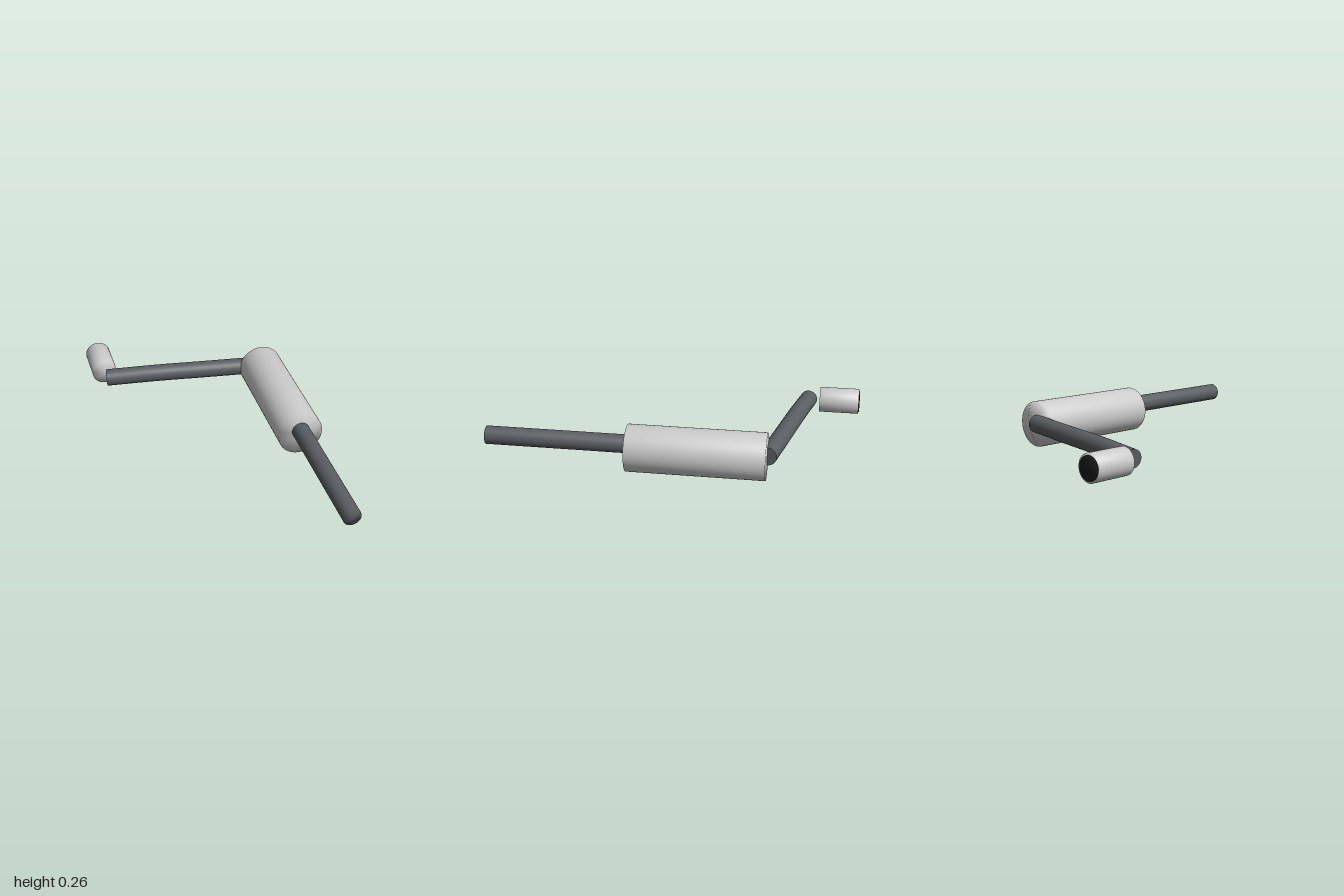
import * as THREE from 'three';
import { mergeVertices } from 'three/addons/utils/BufferGeometryUtils.js';

const light = new THREE.MeshStandardMaterial({ color: 0xcccccc });
const dark = new THREE.MeshStandardMaterial({ color: 0x5a5e62 });
const black = new THREE.MeshStandardMaterial({ color: 0x1c1c1c });

// Weld the seams so that shading rolls softly over the end caps
function weld(geometry) {
  geometry.deleteAttribute('uv');
  geometry.deleteAttribute('normal');
  const welded = mergeVertices(geometry, 1e-4);
  welded.computeVertexNormals();
  return welded;
}

// Closed cylinder lying along z from z0 (back) to z1 (front)
function barrel(name, radius, x, y, z0, z1, material) {
  const geometry = weld(new THREE.CylinderGeometry(radius, radius, z1 - z0, 48).rotateX(Math.PI / 2));
  const mesh = new THREE.Mesh(geometry, material);
  mesh.name = name;
  mesh.position.set(x, y, (z0 + z1) / 2);
  return mesh;
}

// Gently curved round arm with flat ends
function curvedArm(name, points, radius, material) {
  const arm = new THREE.Group();
  arm.name = name;
  const curve = new THREE.CatmullRomCurve3(points.map(p => new THREE.Vector3(...p)));
  const tube = new THREE.Mesh(new THREE.TubeGeometry(curve, 24, radius, 32), material);
  tube.name = 'armTube';
  arm.add(tube);
  for (const [t, sign] of [[0, -1], [1, 1]]) {
    const cap = new THREE.Mesh(new THREE.CircleGeometry(radius, 32), material);
    cap.name = 'armEnd';
    cap.position.copy(curve.getPoint(t));
    const outward = curve.getTangent(t).multiplyScalar(sign);
    cap.quaternion.setFromUnitVectors(new THREE.Vector3(0, 0, 1), outward);
    arm.add(cap);
  }
  return arm;
}

export function createModel() {
  const model = new THREE.Group();
  model.name = 'crankedRod';

  // Thick body with a slim rod out of its front
  model.add(barrel('body', 0.128, 0.43, 0.128, -0.52, 0.225, light));
  model.add(barrel('frontRod', 0.05, 0.43, 0.15, 0.2, 1, dark));

  // Arm from the back of the body out to the side
  model.add(curvedArm('sideArm', [
    [0.43, 0.13, -0.522],
    [0.12, 0.117, -0.582],
    [-0.2, 0.105, -0.643],
    [-0.49, 0.087, -0.7],
  ], 0.05, dark));

  // Short end piece with a dark disc on its back face
  model.add(barrel('endPiece', 0.074, -0.49, 0.087, -0.995, -0.765, light));
  model.add(barrel('endDisc', 0.063, -0.49, 0.087, -1, -0.98, black));

  return model;
}
